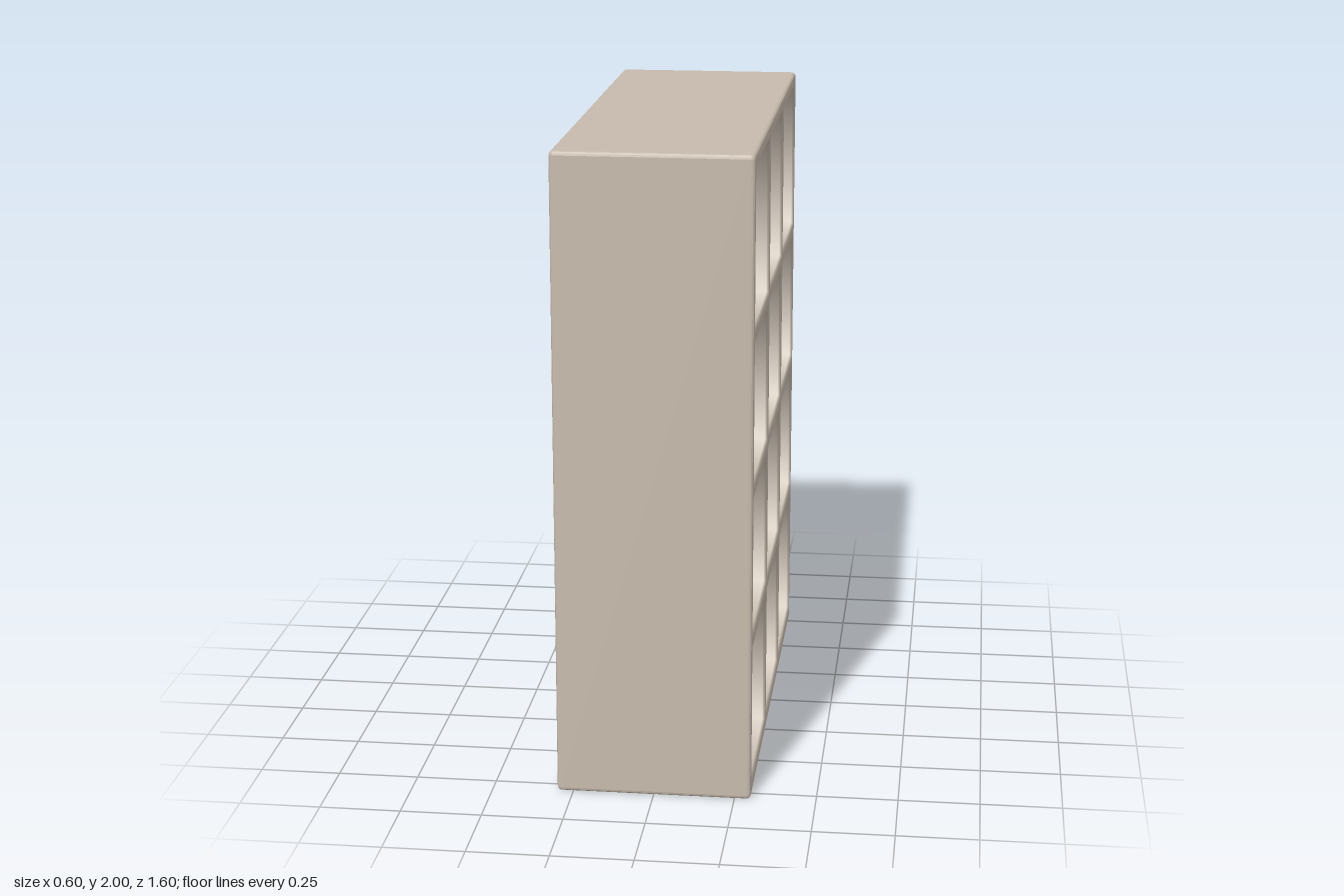
import * as THREE from 'three';
import { toCreasedNormals } from 'three/addons/utils/BufferGeometryUtils.js';

const DEPTH = 0.3;      // half depth along x
const BEVEL = 0.012;    // soft outer edge
const RIM = 0.008;      // soft edge around each opening
const BACK = -0.25;     // inner face of the back panel
const columns = [[-0.763, -0.28], [-0.235, 0.235], [0.28, 0.763]];
const rows = [[0.05, 0.48], [0.525, 0.957], [1.0, 1.433], [1.478, 1.957]];

// Counter-clockwise rectangle, grown by g, with optional rounded corners
function rectangle(u0, u1, v0, v1, g = 0, r = 0) {
  const corners = [[u0 - g, v0 - g, 1, 1, Math.PI], [u1 + g, v0 - g, -1, 1, 1.5 * Math.PI],
    [u1 + g, v1 + g, -1, -1, 0], [u0 - g, v1 + g, 1, -1, 0.5 * Math.PI]];
  const steps = r > 0 ? 3 : 0;
  const points = [];
  for (const [u, v, su, sv, start] of corners) {
    for (let i = 0; i <= steps; i++) {
      const a = start + (steps ? (i / steps) * Math.PI / 2 : 0);
      points.push(r > 0
        ? new THREE.Vector2(u + su * r + r * Math.cos(a), v + sv * r + r * Math.sin(a))
        : new THREE.Vector2(u, v));
    }
  }
  return points;
}

// Skin a list of rings from front to back and close the last one
function loft(rings, outward) {
  const n = rings[0].points.length;
  const positions = [], index = [];
  const face = (a, b, c) => (outward ? index.push(a, c, b) : index.push(a, b, c));
  for (const { points, x } of rings) for (const p of points) positions.push(p.x, p.y, x);
  for (let k = 0; k < rings.length - 1; k++) {
    for (let i = 0; i < n; i++) {
      const a = k * n + i, b = k * n + (i + 1) % n;
      face(a, b, b + n);
      face(a, b + n, a + n);
    }
  }
  const last = (rings.length - 1) * n;
  for (let i = 1; i < n - 1; i++) face(last, last + i, last + i + 1);
  const geometry = new THREE.BufferGeometry();
  geometry.setAttribute('position', new THREE.Float32BufferAttribute(positions, 3));
  geometry.setIndex(index);
  geometry.computeVertexNormals();
  return geometry.rotateY(Math.PI / 2);
}

export function createModel() {
  const group = new THREE.Group();
  const taupe = new THREE.MeshStandardMaterial({ color: 0xc6baac });
  taupe.name = 'warm taupe';
  const add = (name, geometry, parent = group) => {
    const mesh = new THREE.Mesh(geometry, taupe);
    mesh.name = name;
    parent.add(mesh);
  };

  // Outer case: bevelled front edge, straight sides, bevelled closed back
  const caseRing = (inset, x) => ({ points: rectangle(-0.8, 0.8, 0, 2, -inset, BEVEL), x });
  const arc = [0, 1, 2, 3].map(i => (i / 3) * Math.PI / 2)
    .map(a => [BEVEL * (1 - Math.sin(a)), DEPTH - BEVEL * (1 - Math.cos(a))]);
  const front = arc.map(([inset, x]) => caseRing(inset, x)).reverse();
  // the arc runs from the inset front edge out to the full side
  const edge = [0, 1, 2, 3].map(i => (i / 3) * Math.PI / 2);
  front.length = 0;
  for (const a of edge) front.push(caseRing(BEVEL * (1 - Math.sin(a)), DEPTH - BEVEL * (1 - Math.cos(a))));
  const back = front.map(r => ({ points: r.points, x: -r.x })).reverse();
  add('outerCase', toCreasedNormals(loft([...front, ...back], true), 0.2));

  // Face frame with one hole for each compartment
  const frame = new THREE.Shape(rectangle(-0.8, 0.8, 0, 2, -BEVEL, BEVEL));
  const compartments = new THREE.Group();
  compartments.name = 'compartments';
  group.add(compartments);
  for (const [v0, v1] of rows) {
    for (const [u0, u1] of columns) {
      frame.holes.push(new THREE.Path(rectangle(u0, u1, v0, v1, RIM)));
      // Compartment lining with a soft rim
      add('compartment', loft([
        { points: rectangle(u0, u1, v0, v1, RIM), x: DEPTH },
        { points: rectangle(u0, u1, v0, v1, RIM * 0.3), x: DEPTH - RIM * 0.3 },
        { points: rectangle(u0, u1, v0, v1), x: DEPTH - RIM },
        { points: rectangle(u0, u1, v0, v1), x: BACK },
      ], false), compartments);
    }
  }
  add('faceFrame', new THREE.ShapeGeometry(frame).rotateY(Math.PI / 2).translate(DEPTH, 0, 0));

  return group;
}
